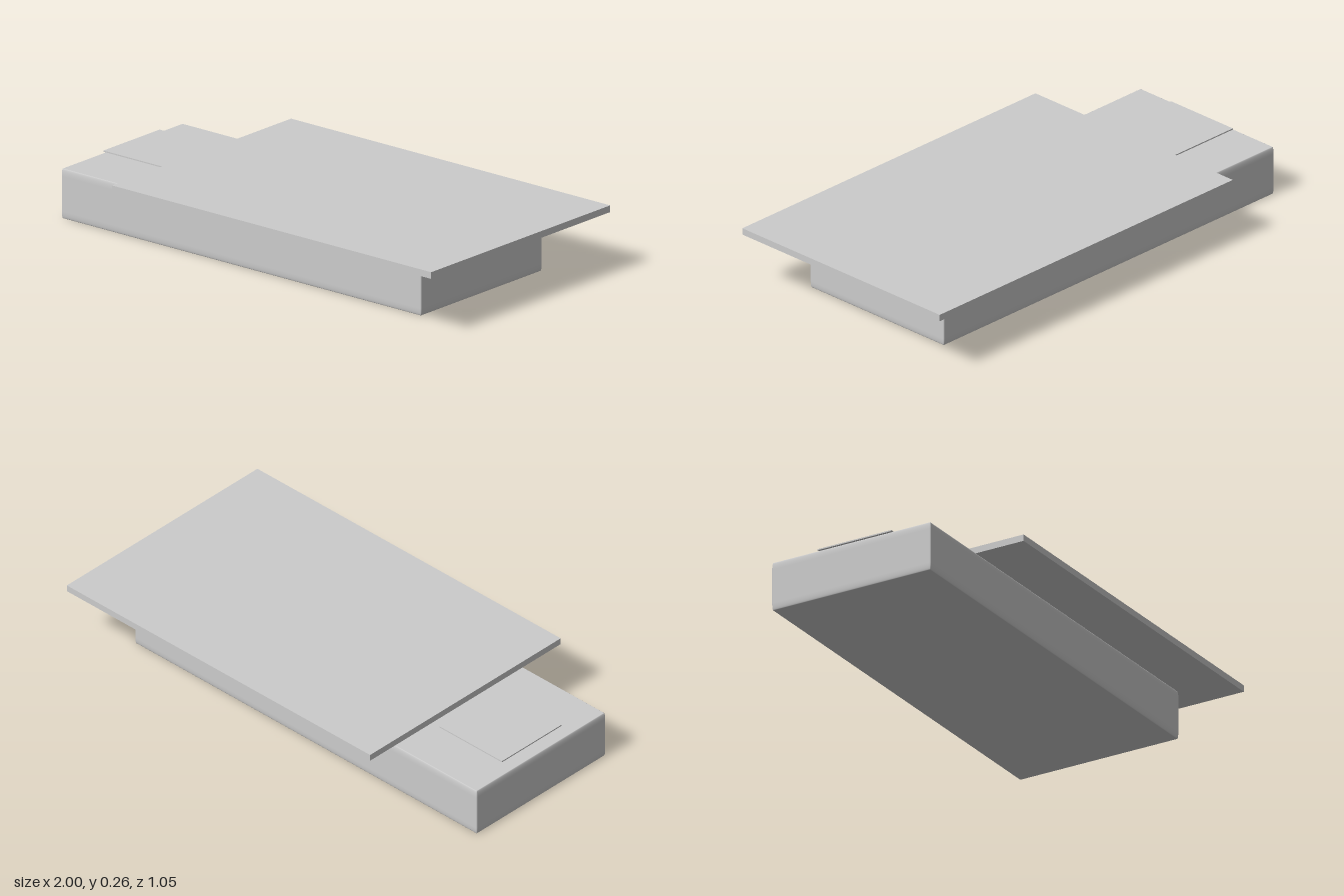
import * as THREE from 'three';
import { RoundedBoxGeometry } from 'three/addons/geometries/RoundedBoxGeometry.js';

const grey = new THREE.MeshStandardMaterial({ color: 0xcccccc });
grey.name = 'light grey';

function addPart(group, name, geometry, x, y, z) {
  const mesh = new THREE.Mesh(geometry, grey);
  mesh.name = name;
  mesh.position.set(x, y, z);
  group.add(mesh);
}

export function createModel() {
  const group = new THREE.Group();
  group.name = 'bed';

  // Mattress: edges rounded tall and shallow, so the box is rounded wide and then squeezed
  const squeeze = 6;
  const mattress = new RoundedBoxGeometry(1.804 * squeeze, 0.2, 0.712 * squeeze, 5, 0.03);
  mattress.scale(1 / squeeze, 1, 1 / squeeze);
  addPart(group, 'mattress', mattress, -0.098, 0.1, 0);

  // Thin flat pillow hovering over the head end
  addPart(group, 'pillow', new THREE.BoxGeometry(0.33, 0.005, 0.33), -0.795, 0.227, -0.01);

  // Wide blanket slab overhanging the sides and foot
  addPart(group, 'blanket', new THREE.BoxGeometry(1.6, 0.027, 1.052), 0.2, 0.249, 0);

  return group;
}
